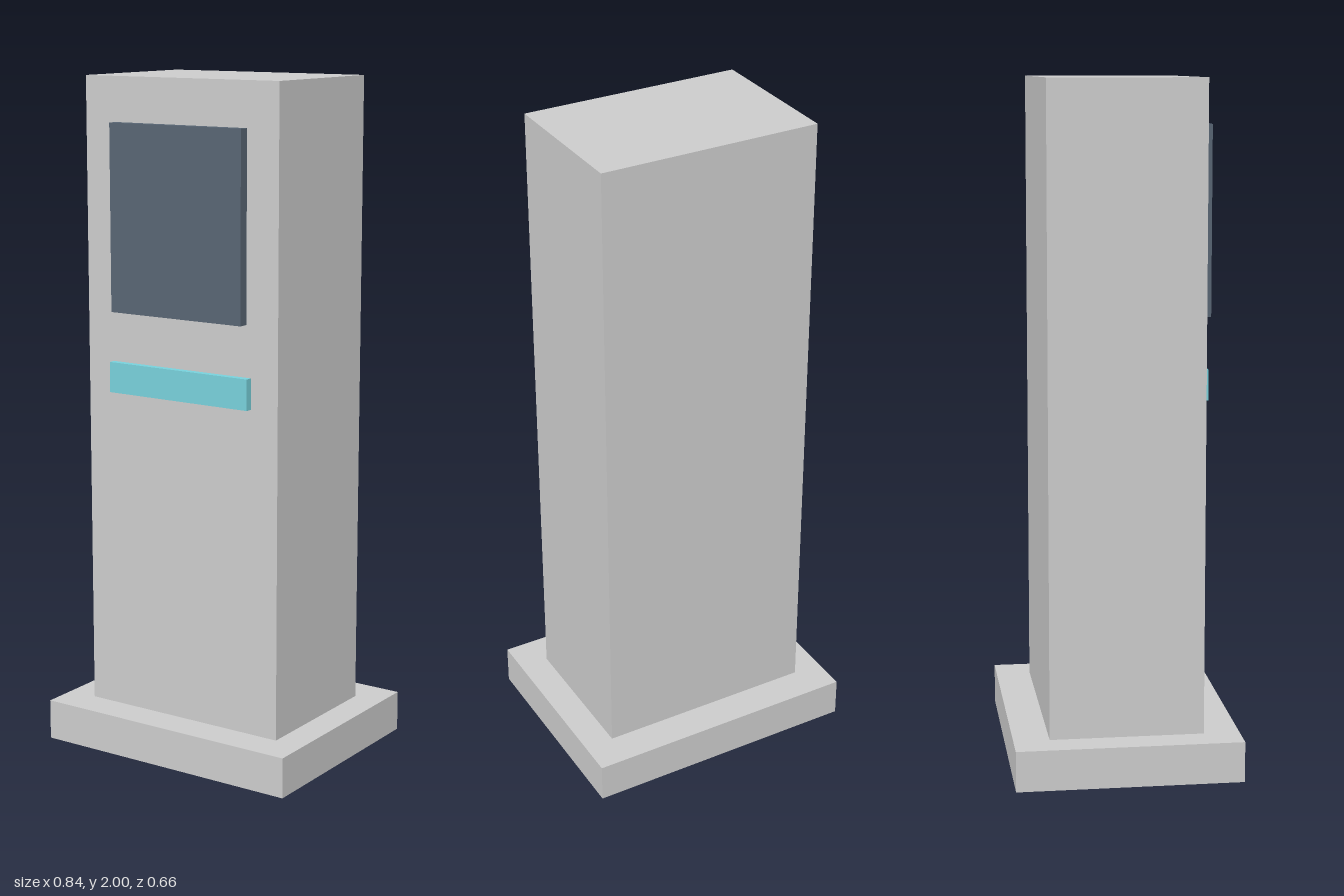
import * as THREE from 'three';

// Box given by its width, its bottom and top, and its back and front
function block(name, color, width, [y0, y1], [z0, z1]) {
  const mesh = new THREE.Mesh(
    new THREE.BoxGeometry(width, y1 - y0, z1 - z0),
    new THREE.MeshStandardMaterial({ color })
  );
  mesh.name = name;
  mesh.position.set(0, (y0 + y1) / 2, (z0 + z1) / 2);
  return mesh;
}

export function createModel() {
  const kiosk = new THREE.Group();
  kiosk.name = 'kiosk';
  const front = 0.225; // front face of the column

  kiosk.add(
    // Plinth and upright body
    block('base', 0xcccccc, 0.84, [0, 0.12], [-0.33, 0.33]),
    block('column', 0xcccccc, 0.66, [0.12, 2], [-front, front]),
    // Panels standing proud of the front, sunk slightly into the column
    block('screen', 0x586573, 0.45, [1.325, 1.87], [front - 0.01, 0.255]),
    block('lightStrip', 0x78d1db, 0.48, [1.085, 1.175], [front - 0.01, 0.246])
  );
  return kiosk;
}
